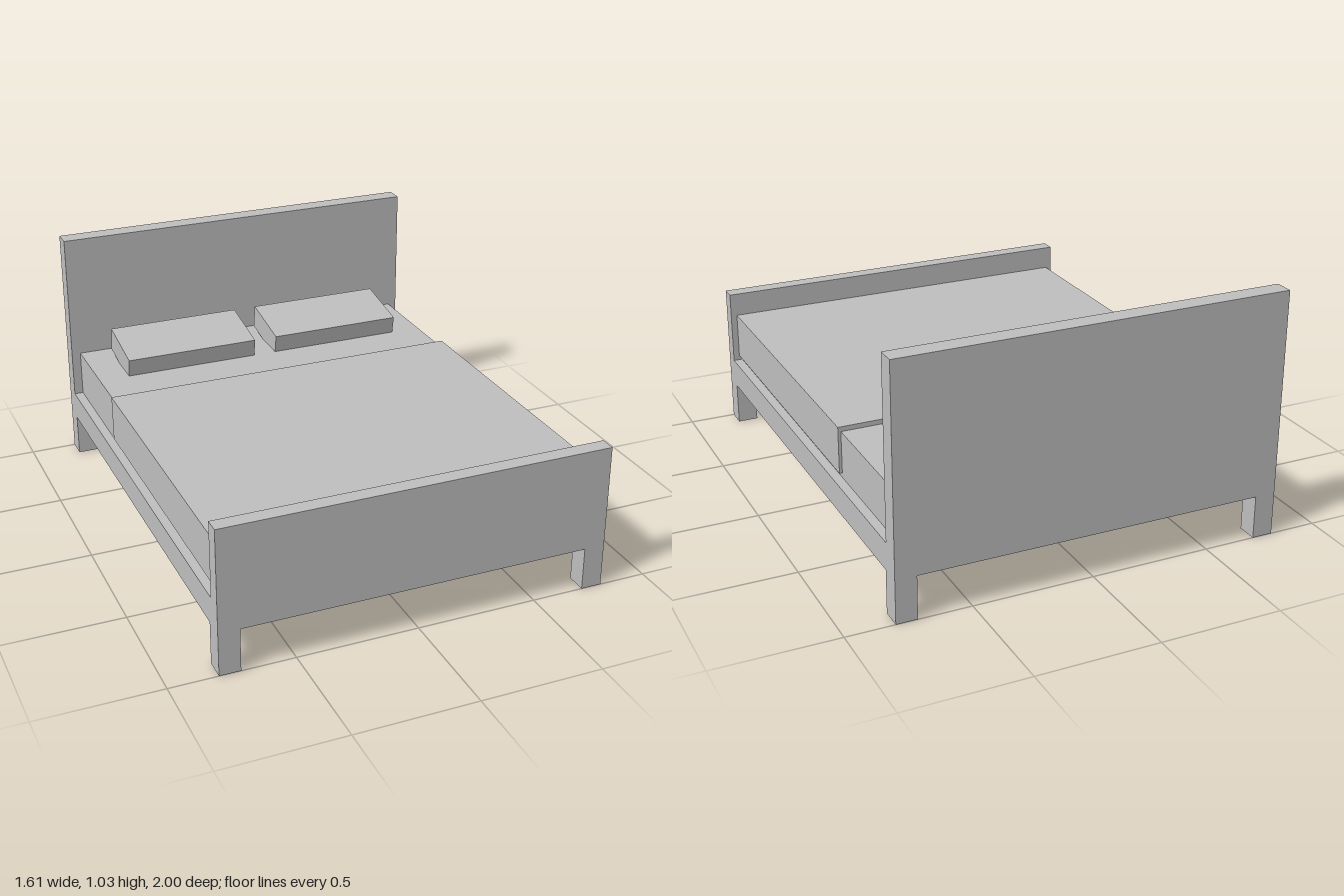
import * as THREE from 'three';

export function createModel() {
  const bed = new THREE.Group();
  bed.name = 'bed';
  const grey = new THREE.MeshStandardMaterial({ color: 0xbfbfbf });
  grey.name = 'plain grey';

  // Box given by its extents on each axis
  function box(name, [x0, x1], [y0, y1], [z0, z1]) {
    const mesh = new THREE.Mesh(new THREE.BoxGeometry(x1 - x0, y1 - y0, z1 - z0), grey);
    mesh.position.set((x0 + x1) / 2, (y0 + y1) / 2, (z0 + z1) / 2);
    mesh.name = name;
    bed.add(mesh);
    return mesh;
  }

  const W = 0.803, headZ = -0.922, footZ = 0.935, frameY = 0.18, deckY = 0.295;

  // Frame
  box('headboard', [-W, W], [frameY, 1.027], [-1, headZ]);
  box('footboard', [-W, W], [frameY, 0.61], [footZ, 1]);
  box('base', [-W, W], [frameY, deckY], [headZ, footZ]);

  // Bedding
  box('mattress', [-0.765, 0.765], [deckY, 0.49], [headZ, footZ]);
  box('blanket', [-0.777, 0.777], [0.315, 0.51], [-0.377, footZ]);

  // Legs and pillows, mirrored left and right
  for (const side of [1, -1]) {
    const label = side > 0 ? 'left' : 'right';
    const legX = side > 0 ? [0.717, W] : [-W, -0.717];
    box(label + 'FrontLeg', legX, [0, frameY], [0.914, 1]);
    box(label + 'BackLeg', legX, [0, frameY], [-1, -0.914]);

    // Pillow tipped up towards the headboard
    const pillow = new THREE.Mesh(new THREE.BoxGeometry(0.584, 0.105, 0.27), grey);
    pillow.position.set(side * 0.342, 0.54, -0.727);
    pillow.rotation.x = 0.175;
    pillow.name = label + 'Pillow';
    bed.add(pillow);
  }
  return bed;
}
